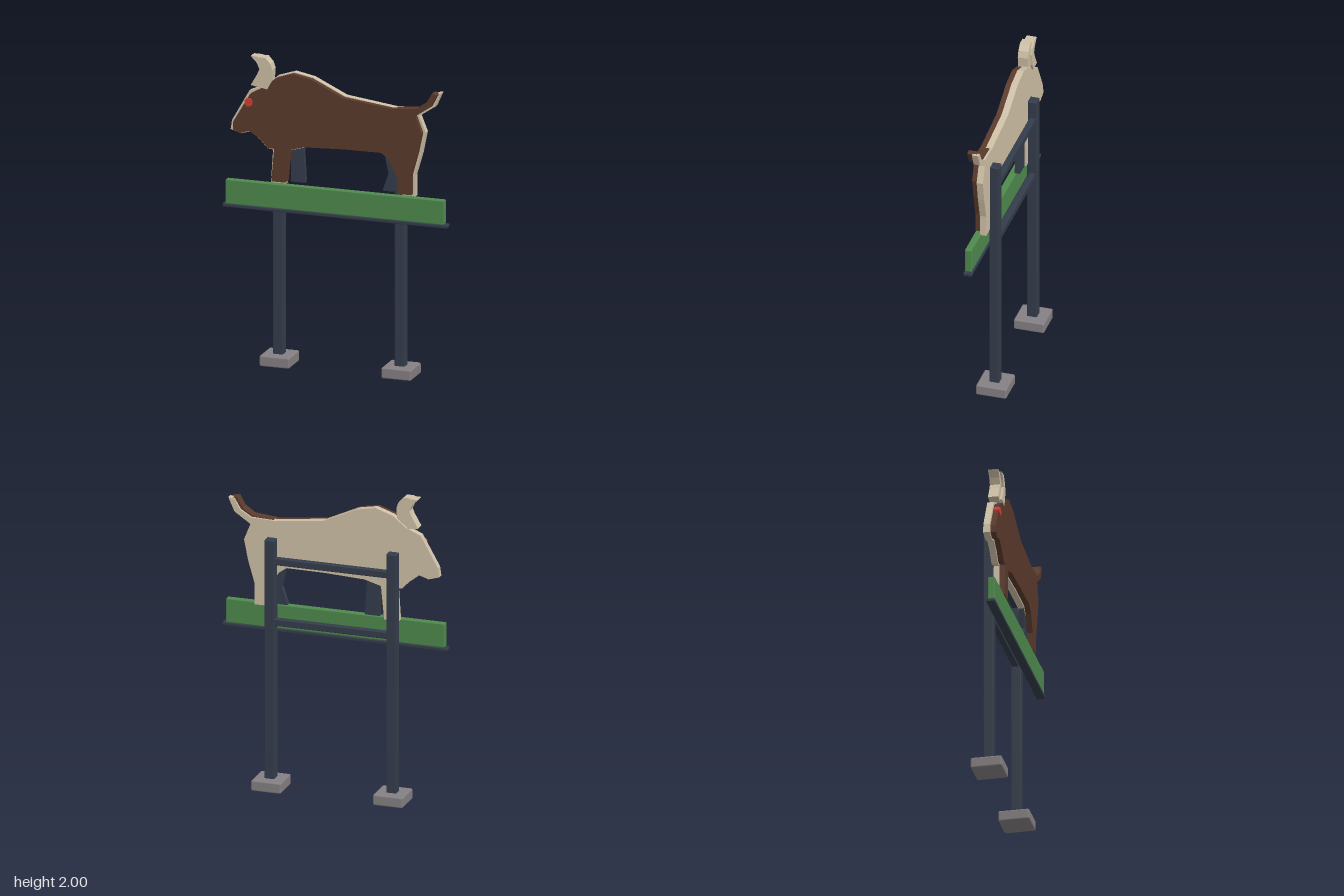
import * as THREE from 'three';
import { RoundedBoxGeometry } from 'three/addons/geometries/RoundedBoxGeometry.js';

const mat = (name, color) => {
  const m = new THREE.MeshStandardMaterial({ color });
  m.name = name;
  return m;
};

export function createModel() {
  const root = new THREE.Group();
  root.name = 'animalSign';
  const steel = mat('dark steel', 0x343d4b);
  const stone = mat('grey stone', 0x858083);
  const green = mat('green panel', 0x4f8a4d);
  const brown = mat('brown hide', 0x5b3a2c);
  const cream = mat('cream board', 0xcfc1a7);
  const red = mat('red eye', 0xd63c34);

  const add = (name, geometry, material) => {
    const mesh = new THREE.Mesh(geometry, material);
    mesh.name = name;
    root.add(mesh);
    return mesh;
  };
  // Box with a narrow chamfer, given by its limits
  const box = (name, material, [x0, x1], [y0, y1], [z0, z1], r = 0.006) =>
    add(name, new RoundedBoxGeometry(x1 - x0, y1 - y0, z1 - z0, 1, r), material)
      .position.set((x0 + x1) / 2, (y0 + y1) / 2, (z0 + z1) / 2);
  // Flat board cut to an outline, between two depths
  const board = (name, material, points, z0, z1) => {
    const shape = new THREE.Shape(points.map(([x, y]) => new THREE.Vector2(x, y)));
    const g = new THREE.ExtrudeGeometry(shape, { depth: z1 - z0, bevelEnabled: false });
    g.translate(0, 0, z0);
    return add(name, g, material);
  };

  // Posts on stone feet
  for (const [side, x] of [['right', -0.4], ['left', 0.4]]) {
    box(side + 'Foot', stone, [x - 0.098, x + 0.098], [0, 0.07], [-0.103, 0.095], 0.01);
    box(side + 'Post', steel, [x - 0.033, x + 0.033], [0.06, 1.64], [-0.036, 0.028]);
  }
  // Crossbars between the posts
  for (const [name, y] of [['lowerBar', 1.1], ['upperBar', 1.5]]) {
    box(name, steel, [-0.39, 0.39], [y - 0.023, y + 0.023], [-0.028, 0.012]);
  }

  // Green panel standing on a ledge
  box('panel', green, [-0.718, 0.716], [1.033, 1.19], [0.055, 0.1]);
  box('ledge', steel, [-0.738, 0.738], [1.012, 1.034], [0.048, 0.103], 0.005);

  // Front silhouette
  board('bodyFront', brown, [
    [-0.48, 1.8], [-0.39, 1.872], [-0.278, 1.911], [-0.156, 1.888], [0.055, 1.788],
    [0.378, 1.75], [0.537, 1.766], [0.6, 1.81], [0.637, 1.875], [0.672, 1.868],
    [0.63, 1.788], [0.527, 1.718], [0.569, 1.608], [0.542, 1.48], [0.5, 1.327],
    [0.502, 1.205], [0.415, 1.205], [0.405, 1.316], [0.352, 1.422], [0.304, 1.46],
    [0.06, 1.458], [-0.204, 1.446], [-0.304, 1.417], [-0.325, 1.205], [-0.418, 1.205],
    [-0.4, 1.417], [-0.44, 1.417], [-0.49, 1.47], [-0.563, 1.517], [-0.627, 1.496],
    [-0.67, 1.517], [-0.67, 1.565], [-0.558, 1.756]
  ], 0.035, 0.096);

  // Slightly larger backing board
  board('bodyBack', cream, [
    [-0.48, 1.806], [-0.392, 1.877], [-0.278, 1.915], [-0.154, 1.891], [0.056, 1.792],
    [0.378, 1.751], [0.54, 1.757], [0.61, 1.8], [0.65, 1.868], [0.688, 1.873],
    [0.648, 1.783], [0.543, 1.713], [0.585, 1.608], [0.558, 1.472], [0.516, 1.327],
    [0.516, 1.187], [0.43, 1.187], [0.414, 1.31], [0.358, 1.412], [0.306, 1.45],
    [0.06, 1.448], [-0.204, 1.436], [-0.314, 1.405], [-0.335, 1.187], [-0.432, 1.187],
    [-0.418, 1.402], [-0.452, 1.404], [-0.5, 1.455], [-0.565, 1.505], [-0.627, 1.486],
    [-0.697, 1.507], [-0.688, 1.567], [-0.574, 1.768]
  ], 0.021, 0.062);

  // Legs of the far side
  board('farFrontLeg', steel, [
    [-0.302, 1.46], [-0.222, 1.46], [-0.208, 1.205], [-0.303, 1.205]
  ], 0.024, 0.058);
  board('farHindLeg', steel, [
    [0.31, 1.46], [0.4, 1.46], [0.42, 1.3], [0.4, 1.205], [0.3, 1.205], [0.338, 1.32]
  ], 0.024, 0.058);

  // Two curved horns, one behind the other
  const horn = [
    [-0.557, 2], [-0.502, 2], [-0.47, 1.965], [-0.456, 1.925], [-0.462, 1.85],
    [-0.49, 1.8], [-0.557, 1.812], [-0.515, 1.885], [-0.5, 1.92], [-0.518, 1.96]
  ];
  board('farHorn', cream, horn, 0.021, 0.086);
  board('nearHorn', cream, horn.map(([x, y]) => [x + 0.046, y - (y < 1.82 ? 0.002 : 0)]),
    0.034, 0.1);

  // Eye
  const eye = add('eye', new THREE.CylinderGeometry(0.028, 0.028, 0.043, 8), red);
  eye.rotation.set(Math.PI / 2, Math.PI / 8, 0);
  eye.position.set(-0.566, 1.703, 0.0815);

  return root;
}
